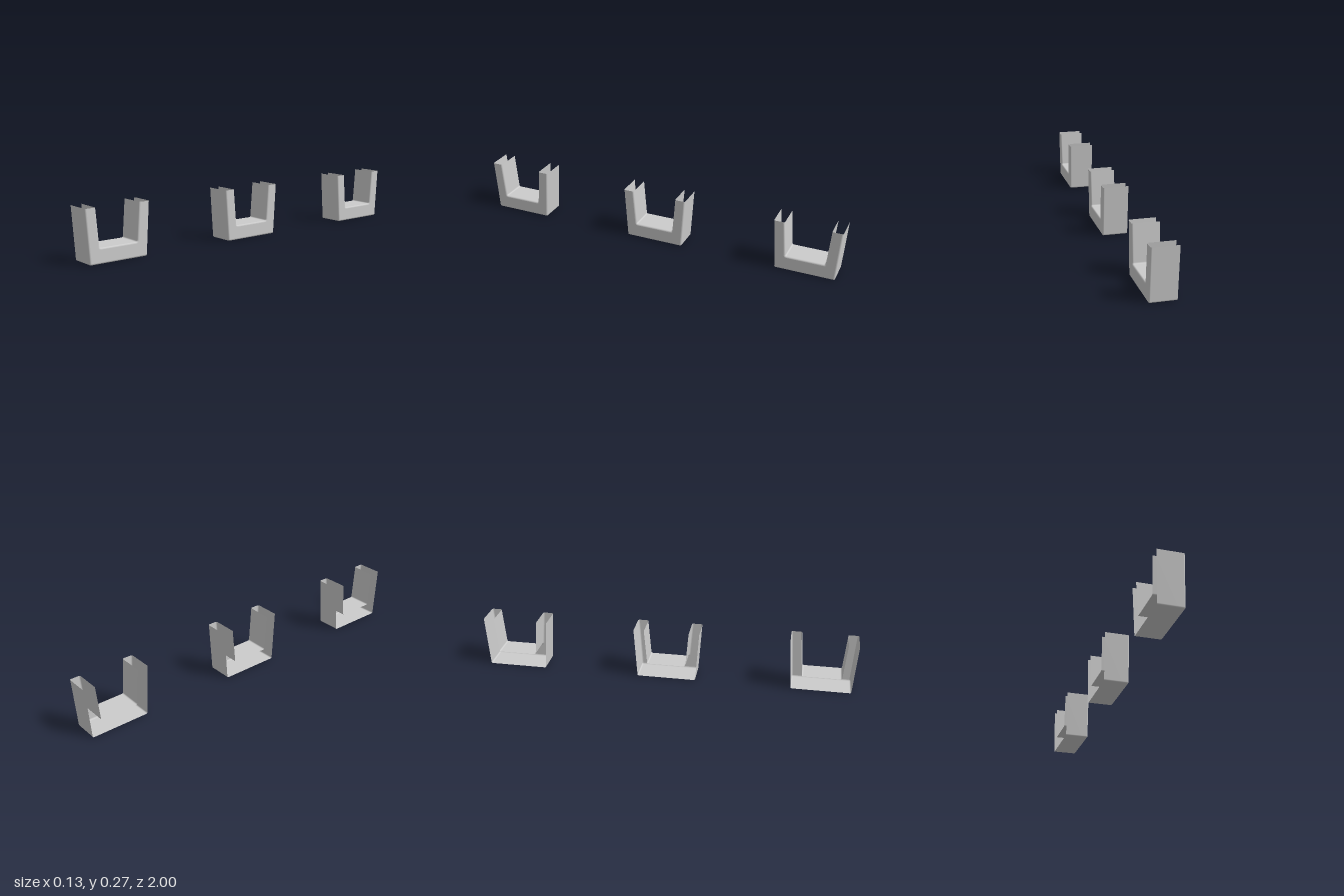
import * as THREE from 'three';

const HEIGHT = 0.27, X_OPEN = -0.067, X_CLOSED = 0.067, R = 0.008, STEPS = 5;

// Half of a U-shaped path mirrored about z = 0, with rounded bottom corners; points are (z, y)
function uPath(topHalf, baseHalf, baseY, r) {
  const top = new THREE.Vector2(-topHalf, HEIGHT);
  const corner = new THREE.Vector2(-baseHalf, baseY);
  const start = corner.clone().add(top.clone().sub(corner).setLength(r));
  const end = new THREE.Vector2(-baseHalf + r, baseY);
  const half = [top, ...new THREE.QuadraticBezierCurve(start, corner, end).getPoints(STEPS)];
  const other = half.map((p) => new THREE.Vector2(-p.x, p.y)).reverse();
  return [...half, ...other];
}

// Outer and inner profiles, drawn in by d toward the middle of the hollow section
const outerPath = (d) => uPath(0.175 - d, 0.157 - d, d, Math.max(R - d, 0.001));
const innerPath = (d) => uPath(0.119 + d, 0.103 + d, 0.077 - d, R + d).reverse();

// Sheet swept from the open side to the closed side, rolling over the last edge
function sheet(pathAt) {
  const rows = [[X_OPEN, 0]];
  for (let i = 0; i <= STEPS; i++) {
    const a = (i / STEPS) * Math.PI / 2;
    rows.push([X_CLOSED - R + R * Math.sin(a), R * (1 - Math.cos(a))]);
  }
  const positions = [], index = [];
  let n = 0;
  rows.forEach(([x, d], i) => {
    const path = pathAt(d);
    n = path.length;
    path.forEach((p) => positions.push(x, p.y, p.x));
    if (i === 0) return;
    for (let j = 0; j < n - 1; j++) {
      const a = (i - 1) * n + j, b = a + n;
      index.push(a, b, a + 1, b, b + 1, a + 1);
    }
  });
  const geometry = new THREE.BufferGeometry();
  geometry.setAttribute('position', new THREE.Float32BufferAttribute(positions, 3));
  geometry.setIndex(index);
  geometry.computeVertexNormals();
  return geometry;
}

// Flat U-shaped wall that closes the +x side
function sideWall() {
  const outline = [...outerPath(R), ...innerPath(R)].map((p) => new THREE.Vector2(-p.x, p.y));
  return new THREE.ShapeGeometry(new THREE.Shape(outline))
    .rotateY(Math.PI / 2)
    .translate(X_CLOSED, 0, 0);
}

export function createModel() {
  const model = new THREE.Group();
  model.name = 'bracketRow';
  const material = new THREE.MeshStandardMaterial({ color: 0xcccccc, side: THREE.DoubleSide });
  const parts = {
    outerShell: sheet(outerPath),
    innerCradle: sheet(innerPath),
    sideWall: sideWall(),
  };

  // Three identical hollow U brackets in a row along z
  [['frontBracket', 0.825], ['middleBracket', 0.003], ['backBracket', -0.825]].forEach(([name, z]) => {
    const bracket = new THREE.Group();
    bracket.name = name;
    bracket.position.z = z;
    for (const [part, geometry] of Object.entries(parts)) {
      const mesh = new THREE.Mesh(geometry, material);
      mesh.name = part;
      bracket.add(mesh);
    }
    model.add(bracket);
  });
  return model;
}
